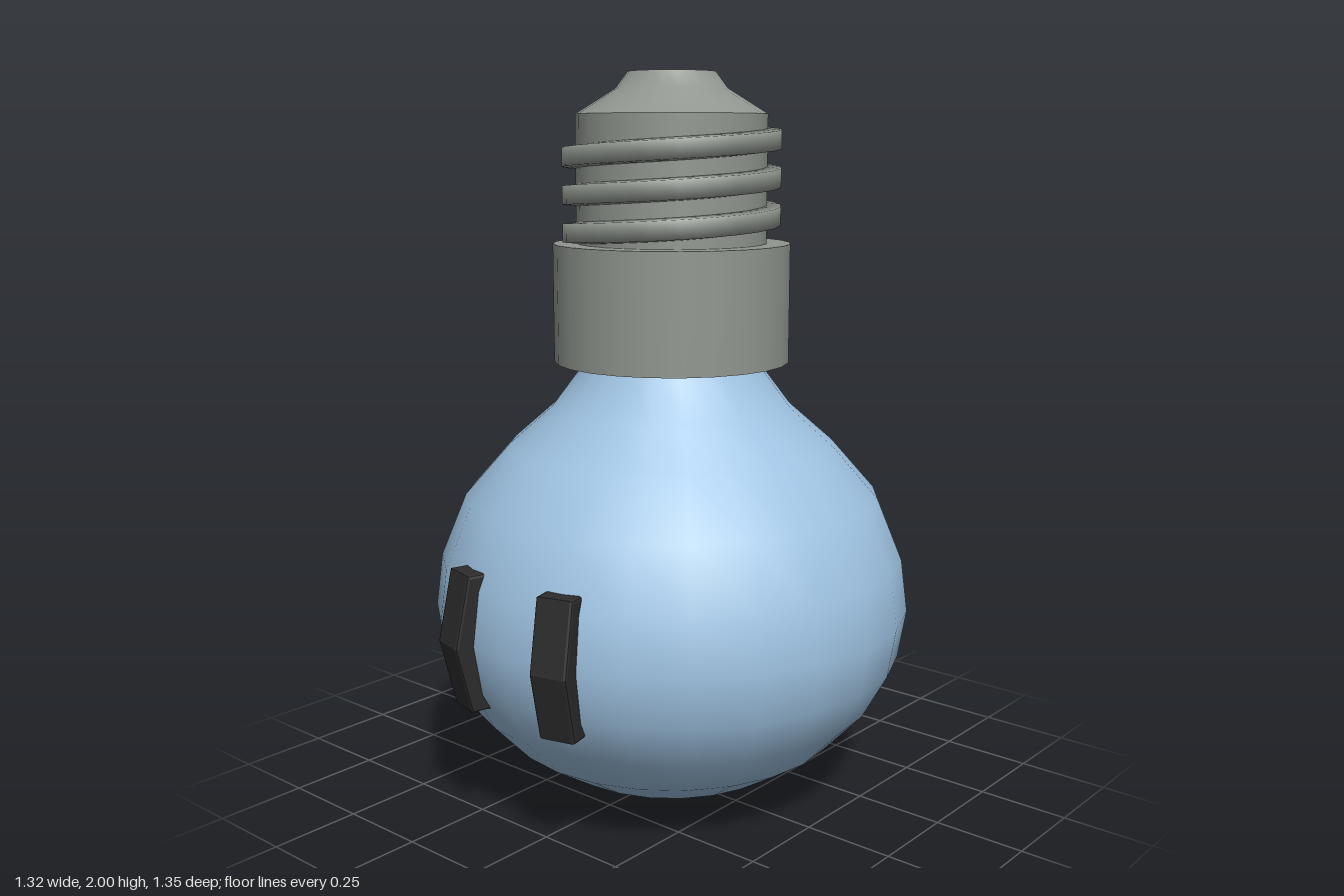
import * as THREE from 'three';

const SIDES = 24;
const glass = new THREE.MeshStandardMaterial({ color: 0x9fc3e2 });
const metal = new THREE.MeshStandardMaterial({ color: 0x90968f });
const dark = new THREE.MeshStandardMaterial({ color: 0x2c2c2c });

function part(name, geometry, material) {
  const mesh = new THREE.Mesh(geometry, material);
  mesh.name = name;
  return mesh;
}

function lathe(profile) {
  return new THREE.LatheGeometry(profile.map(([r, y]) => new THREE.Vector2(r, y)), SIDES);
}

// Trapezoid section swept along a helix that starts at -x and rises past the front
function threadGeometry(turns, pitch, startY) {
  const section = [[0.25, -0.03], [0.295, -0.025], [0.295, 0.025], [0.25, 0.03]];
  const steps = turns * SIDES;
  const pos = [], index = [];
  for (let i = 0; i <= steps; i++) {
    const a = (i / SIDES) * Math.PI * 2;
    for (const [r, y] of section) {
      pos.push(-Math.cos(a) * r, startY + (pitch * i) / SIDES + y, Math.sin(a) * r);
    }
  }
  for (let i = 0; i < steps; i++) {
    for (let j = 0; j < 4; j++) {
      const a = i * 4 + j, b = i * 4 + ((j + 1) % 4);
      index.push(a, a + 4, b, b, a + 4, b + 4);
    }
  }
  const e = steps * 4;
  index.push(0, 1, 2, 0, 2, 3, e, e + 2, e + 1, e, e + 3, e + 2);
  const geo = new THREE.BufferGeometry();
  geo.setAttribute('position', new THREE.Float32BufferAttribute(pos, 3));
  geo.setIndex(index);
  geo.computeVertexNormals();
  return geo;
}

// Upright bar bent at its middle, reaching out along +z
function eyeGeometry() {
  const b = 0.008, width = 0.104;
  const outline = [[0.59, 0.365], [0.661, 0.365], [0.705, 0.545], [0.665, 0.735], [0.592, 0.735], [0.628, 0.545]];
  const shape = new THREE.Shape(outline.map(([z, y]) => new THREE.Vector2(z, y)));
  const geo = new THREE.ExtrudeGeometry(shape, {
    depth: width - 2 * b, bevelEnabled: true, bevelSize: b, bevelOffset: -b, bevelThickness: b, bevelSegments: 2,
  });
  geo.translate(0, 0, -width / 2 + b);
  geo.rotateY(-Math.PI / 2);
  return geo;
}

export function createModel() {
  const group = new THREE.Group();
  group.name = 'lightBulb';

  // Round glass body, its neck running up into the collar
  group.add(part('glassBulb', lathe([
    [0, 0.005], [0.17, 0.028], [0.33, 0.085], [0.467, 0.172], [0.572, 0.284], [0.64, 0.41], [0.662, 0.545],
    [0.643, 0.69], [0.573, 0.86], [0.45, 1.0], [0.33, 1.105], [0.24, 1.225], [0.22, 1.3],
  ]), glass));

  // Collar between glass and screw base
  const collar = part('collar', new THREE.CylinderGeometry(0.322, 0.322, 0.32, SIDES), metal);
  collar.position.y = 1.39;
  group.add(collar);

  // Screw base: core, domed cap and contact tip
  const core = part('screwCore', new THREE.CylinderGeometry(0.258, 0.258, 0.36, SIDES), metal);
  core.position.y = 1.71;
  group.add(core);
  group.add(part('domeCap', lathe([[0.258, 1.89], [0.15, 1.957], [0.118, 2.0]]), metal));
  const tip = part('contactTip', new THREE.CircleGeometry(0.118, SIDES), metal);
  tip.rotation.x = -Math.PI / 2;
  tip.position.y = 2;
  group.add(tip);
  group.add(part('screwThread', threadGeometry(3, 0.1, 1.565), metal));

  // Two eyes wrapped on the front of the glass
  for (const side of [-1, 1]) {
    const eye = part(side > 0 ? 'leftEye' : 'rightEye', eyeGeometry(), dark);
    eye.rotation.y = side * Math.PI / 12;
    group.add(eye);
  }

  // The eyes stick out in front, so the round body sits slightly back
  group.children.forEach((child) => { child.position.z -= 0.015; });
  return group;
}
